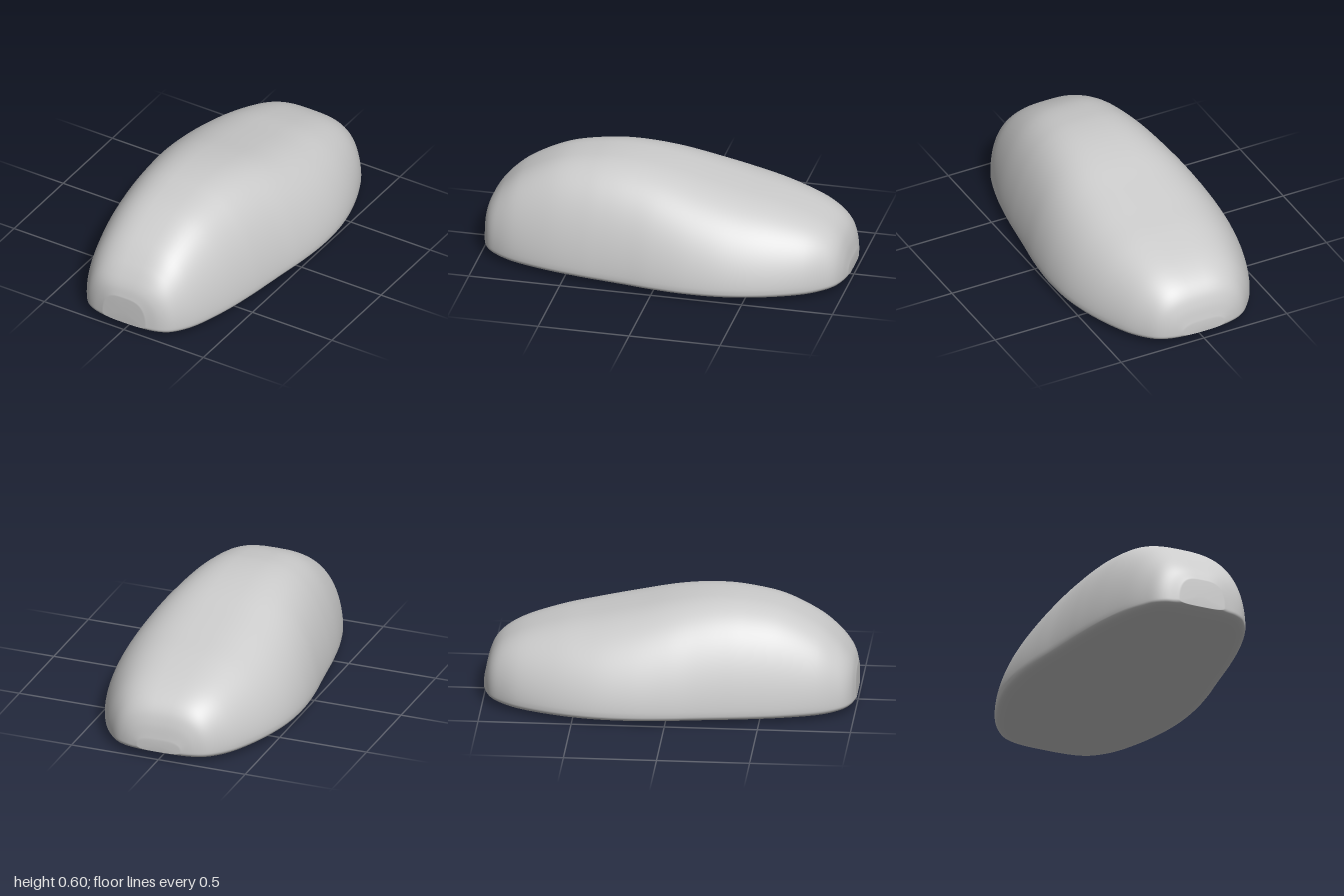
import * as THREE from 'three';

// Stations along the body: [z, half width, top height]
const STATIONS = [
  [1, 0.13, 0.2], [0.98, 0.205, 0.26], [0.95, 0.255, 0.31], [0.9, 0.295, 0.37],
  [0.8, 0.348, 0.455], [0.6, 0.41, 0.555], [0.4, 0.45, 0.595], [0.28, 0.468, 0.603],
  [0.15, 0.487, 0.597], [0, 0.51, 0.575], [-0.2, 0.525, 0.53], [-0.4, 0.513, 0.485],
  [-0.6, 0.465, 0.44], [-0.8, 0.38, 0.375], [-0.9, 0.31, 0.318], [-0.95, 0.26, 0.265],
  [-0.98, 0.2, 0.2], [-1, 0.12, 0.11],
];
const RIM = 0.07; // height of the widest line
const AROUND = 96;
const ALONG = 136;

const signedPow = (v, p) => Math.sign(v) * Math.pow(Math.abs(v), p);

// Rounded cross-section: domed above the rim, nearly flat below it
function section(z, width, top) {
  const end = Math.pow(Math.abs(z), 6);
  const bottom = 0.045 * Math.pow(Math.abs(z), 14);
  const a = 3 + 0.4 * end;
  const b = 1.5 + 0.7 * end;
  const ring = [];
  for (let j = 0; j < AROUND; j++) {
    const t = (j / AROUND) * Math.PI * 2;
    const c = Math.cos(t), s = Math.sin(t);
    const upper = s >= 0;
    const x = width * signedPow(c, 2 / (upper ? a : 3.5));
    const y = RIM + (upper ? top - RIM : RIM - bottom) * signedPow(s, 2 / (upper ? b : 3.5));
    ring.push([x, y, z]);
  }
  return ring;
}

function loft(rings) {
  const index = [];
  for (let i = 0; i < rings.length - 1; i++) {
    for (let j = 0; j < AROUND; j++) {
      const k = (j + 1) % AROUND;
      const p = i * AROUND + j, q = i * AROUND + k;
      index.push(p, p + AROUND, q, q, p + AROUND, q + AROUND);
    }
  }
  const geometry = new THREE.BufferGeometry();
  geometry.setAttribute('position', new THREE.Float32BufferAttribute(rings.flat(2), 3));
  geometry.setIndex(index);
  geometry.computeVertexNormals();
  return geometry;
}

export function createModel() {
  const group = new THREE.Group();
  group.name = 'model';

  const curve = new THREE.CatmullRomCurve3(STATIONS.map((p) => new THREE.Vector3(...p)));
  const rings = [];
  for (let i = 0; i <= ALONG; i++) {
    const p = curve.getPoint(i / ALONG);
    rings.push(section(THREE.MathUtils.clamp(p.x, -1, 1), p.y, p.z));
  }
  // Flat end caps, closed at a centre point
  const cap = (z, y) => Array.from({ length: AROUND }, () => [0, y, z]);
  rings.unshift(cap(1, 0.11));
  rings.push(cap(-1, 0.08));

  const body = new THREE.Mesh(loft(rings), new THREE.MeshStandardMaterial({ color: 0xcccccc }));
  body.name = 'body';
  group.add(body);
  return group;
}
